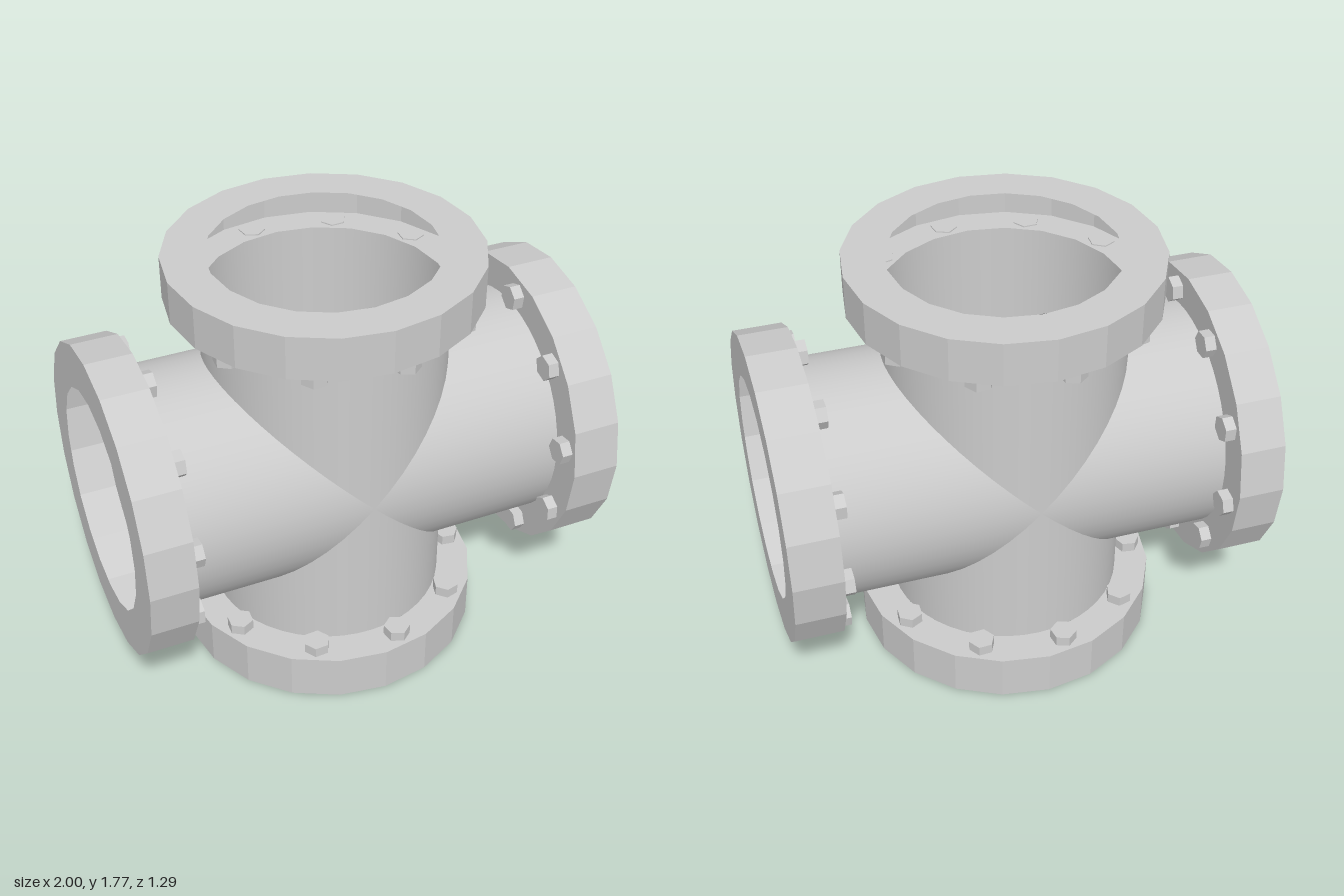
import * as THREE from 'three';

const smooth = new THREE.MeshStandardMaterial({ color: 0xcccccc, side: THREE.DoubleSide });
const faceted = new THREE.MeshStandardMaterial({ color: 0xcccccc, side: THREE.DoubleSide, flatShading: true });

const PIPE_R = 0.495;
const HOLE_R = 0.46;
const BOLT_RING = 0.56;

function addMesh(parent, name, geometry, material) {
  const mesh = new THREE.Mesh(geometry, material);
  mesh.name = name;
  parent.add(mesh);
  return mesh;
}

// Pipe wall whose inner end is trimmed to a saddle around the junction
function pipeGeometry(end, saddle) {
  const g = new THREE.CylinderGeometry(PIPE_R, PIPE_R, 1, 48, 1, true);
  const p = g.attributes.position;
  for (let i = 0; i < p.count; i++) {
    p.setY(i, p.getY(i) > 0 ? end : saddle * Math.abs(p.getX(i)));
  }
  return g;
}

// One arm of the cross, built along +y from the junction centre
function buildArm({ name, length, thick, radius, saddle, turn, flip }) {
  const arm = new THREE.Group();
  arm.name = name;
  const back = length - thick;

  addMesh(arm, 'pipe', pipeGeometry(back, saddle), smooth);

  // Hollow flange: back plate, rim and front ring
  const profile = [[PIPE_R, back], [radius, back], [radius, length], [HOLE_R, length]];
  const flange = new THREE.LatheGeometry(profile.map(([r, y]) => new THREE.Vector2(r, y)), 20);
  addMesh(arm, 'flange', flange, faceted);

  // Ring of hexagonal bolts through the back plate
  const boltGeometry = new THREE.CylinderGeometry(0.055, 0.055, 0.05, 6);
  for (let i = 0; i < 10; i++) {
    const a = THREE.MathUtils.degToRad(9 + 36 * i);
    const bolt = addMesh(arm, 'bolt', boltGeometry, faceted);
    bolt.position.set(flip * BOLT_RING * Math.sin(a), back - 0.02, BOLT_RING * Math.cos(a));
    bolt.rotation.y = flip * a;
  }

  arm.rotation.z = turn;
  return arm;
}

export function createModel() {
  const model = new THREE.Group();
  model.name = 'pipeCross';

  const junction = new THREE.Group();
  junction.name = 'junction';
  junction.position.set(-0.025, 0.86, 0);
  model.add(junction);

  const arms = [
    { name: 'topArm', length: 0.915, thick: 0.18, radius: 0.63, saddle: 0.87, turn: 0, flip: 1 },
    { name: 'bottomArm', length: 0.86, thick: 0.2, radius: 0.64, saddle: 0.87, turn: Math.PI, flip: -1 },
    { name: 'leftArm', length: 1.025, thick: 0.2, radius: 0.64, saddle: 0.65, turn: -Math.PI / 2, flip: -1 },
    { name: 'rightArm', length: 0.975, thick: 0.19, radius: 0.645, saddle: 0.65, turn: Math.PI / 2, flip: 1 },
  ];
  for (const arm of arms) junction.add(buildArm(arm));

  return model;
}
